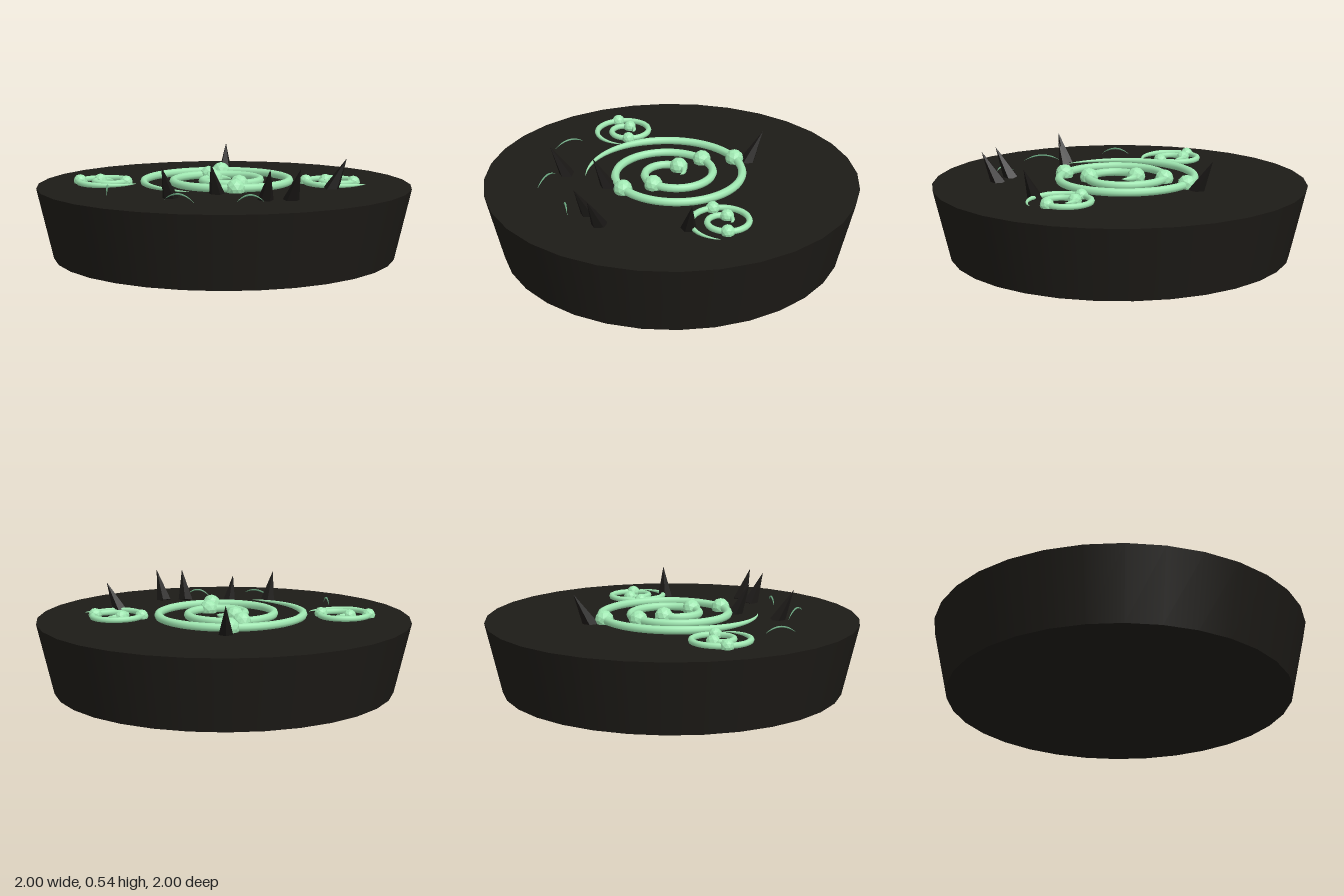
import * as THREE from 'three';

const TOP = 0.375;
const stone = new THREE.MeshStandardMaterial({ color: 0x1d1b17 });
const thornMat = new THREE.MeshStandardMaterial({ color: 0x191715, flatShading: true });
const vineMat = new THREE.MeshStandardMaterial({ color: 0xa0e8b2 });
const budMat = new THREE.MeshStandardMaterial({ color: 0xa0e8b2, flatShading: true });
const wispMat = new THREE.MeshStandardMaterial({ color: 0x6fae86 });

function addMesh(parent, name, geometry, material) {
  const mesh = new THREE.Mesh(geometry, material);
  mesh.name = name;
  parent.add(mesh);
  return mesh;
}

// Flat spiral whose radius grows linearly with the angle (degrees)
class SpiralCurve extends THREE.Curve {
  constructor(r0, perTurn, from, to) {
    super();
    Object.assign(this, { r0, perTurn, from, to });
  }
  at(deg, target = new THREE.Vector3()) {
    const a = THREE.MathUtils.degToRad(deg);
    const r = this.r0 + this.perTurn * deg / 360;
    return target.set(r * Math.cos(a), 0, -r * Math.sin(a));
  }
  getPoint(t, target) {
    return this.at(this.from + (this.to - this.from) * t, target);
  }
}

// Tube whose rings shrink by taper(u) along its length
function taperedTube(curve, segments, radius, sides, taper) {
  const geo = new THREE.TubeGeometry(curve, segments, radius, sides, false);
  const pos = geo.attributes.position;
  const p = new THREE.Vector3();
  for (let i = 0; i <= segments; i++) {
    const c = curve.getPointAt(i / segments);
    const k = taper(i / segments);
    for (let j = 0; j <= sides; j++) {
      const n = i * (sides + 1) + j;
      p.fromBufferAttribute(pos, n).sub(c).multiplyScalar(k).add(c);
      pos.setXYZ(n, p.x, p.y, p.z);
    }
  }
  return geo;
}

// Spiral vine with round buds along it
function makeSpiral(o) {
  const group = new THREE.Group();
  group.name = o.name;
  const curve = new SpiralCurve(o.r0, o.perTurn, o.from, o.to);
  const length = curve.getLength();
  const taper = (u) => Math.pow(Math.min(1, u * length / o.startTaper, (1 - u) * length / o.endTaper), 0.75);
  addMesh(group, 'spiralVine', taperedTube(curve, o.segments, o.radius, 8, taper), vineMat);
  for (const deg of o.buds) {
    const bud = addMesh(group, 'spiralBud', new THREE.IcosahedronGeometry(o.budRadius, 1), budMat);
    curve.at(deg, bud.position);
    bud.rotation.y = THREE.MathUtils.degToRad(deg);
  }
  group.position.set(o.x, TOP + o.lift, o.z);
  return group;
}

export function createModel() {
  const model = new THREE.Group();
  model.name = 'spiralPlatform';

  // Round base, wider at the top
  const base = addMesh(model, 'base', new THREE.CylinderGeometry(1, 0.915, TOP, 32), stone);
  base.position.y = TOP / 2;

  // One large spiral and two equal small ones
  model.add(makeSpiral({
    name: 'largeSpiral', x: 0, z: 0, lift: 0.02, r0: 0.048, perTurn: 0.158, from: 5, to: 936,
    radius: 0.022, segments: 180, startTaper: 0.09, endTaper: 0.6,
    buds: [96, 266, 438, 608, 780], budRadius: 0.05,
  }));
  for (const [x, z] of [[-0.52, -0.35], [0.5, 0.315]]) {
    model.add(makeSpiral({
      name: 'smallSpiral', x, z, lift: 0.013, r0: 0.034, perTurn: 0.084, from: 5, to: 657,
      radius: 0.016, segments: 110, startTaper: 0.06, endTaper: 0.28,
      buds: [105, 309, 502], budRadius: 0.036,
    }));
  }

  // Thorns leaning outwards: base x, z and tip x, z
  const thorns = [
    [0.25, -0.38, 0.305, -0.457], [-0.22, 0.275, -0.285, 0.32], [-0.49, 0.27, -0.565, 0.315],
    [-0.13, 0.58, -0.16, 0.665], [-0.022, 0.645, -0.03, 0.735], [0.375, 0.45, 0.43, 0.51],
  ];
  const up = new THREE.Vector3(0, 1, 0);
  for (const [bx, bz, tx, tz] of thorns) {
    const foot = new THREE.Vector3(bx, TOP - 0.01, bz);
    const axis = new THREE.Vector3(tx, 0.537, tz).sub(foot);
    const height = axis.length();
    const geo = new THREE.ConeGeometry(0.043, height, 5).translate(0, height / 2, 0);
    const thorn = addMesh(model, 'thorn', geo, thornMat);
    thorn.position.copy(foot);
    thorn.quaternion.setFromUnitVectors(up, axis.normalize());
  }

  // Thin arched wisps: start x, z and end x, z
  const wisps = [
    [-0.735, 0.055, -0.645, -0.105], [-0.545, 0.3, -0.505, 0.52], [-0.295, 0.57, -0.2, 0.67],
  ];
  for (const [ax, az, bx, bz] of wisps) {
    const arch = new THREE.QuadraticBezierCurve3(
      new THREE.Vector3(ax, TOP, az),
      new THREE.Vector3((ax + bx) / 2, TOP + 0.075, (az + bz) / 2),
      new THREE.Vector3(bx, TOP + 0.01, bz));
    addMesh(model, 'wisp', taperedTube(arch, 14, 0.005, 5, (u) => Math.sin(Math.PI * u)), wispMat);
  }
  return model;
}
